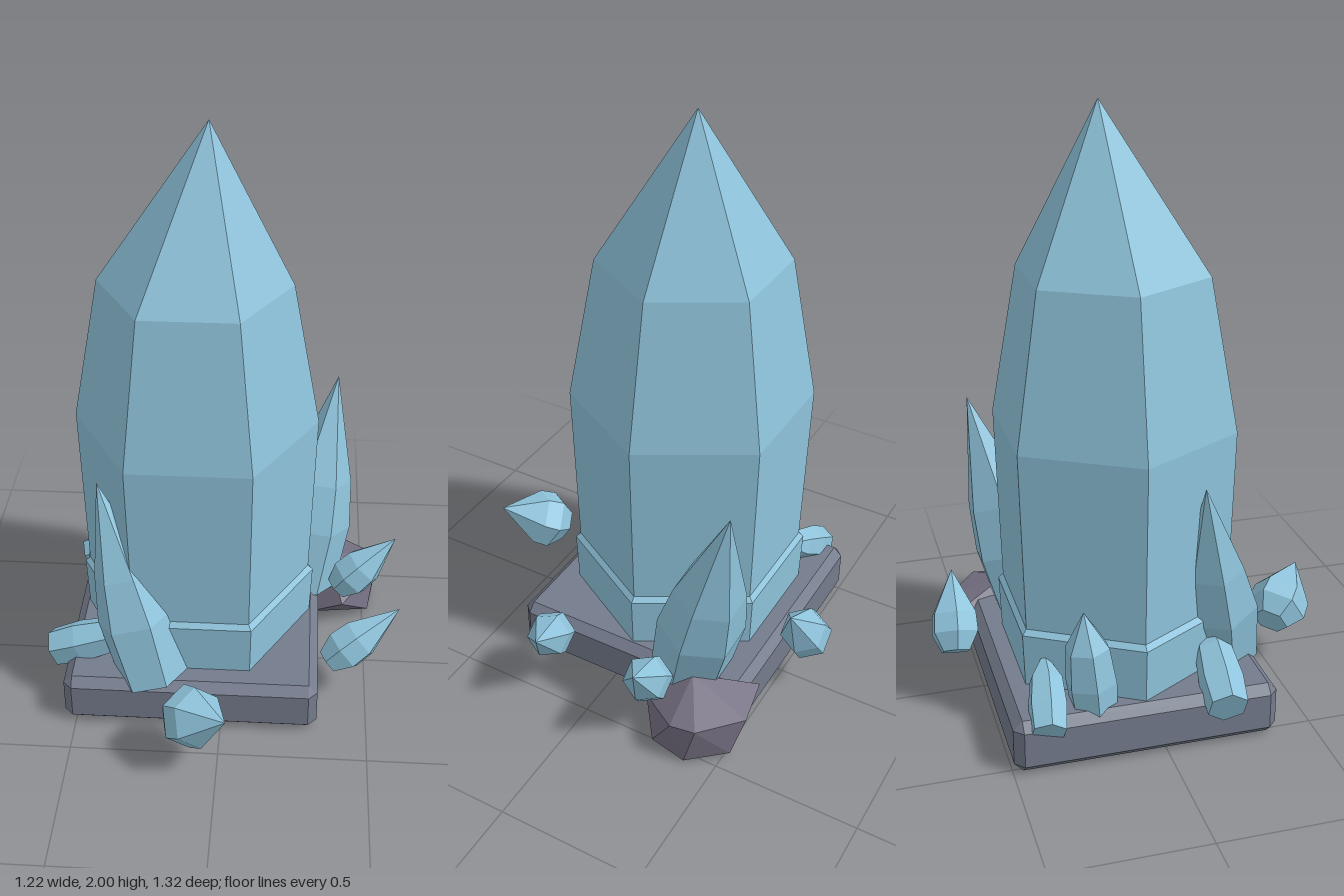
import * as THREE from 'three';
import { ConvexGeometry } from 'three/addons/geometries/ConvexGeometry.js';

const V = (x, y, z) => new THREE.Vector3(x, y, z);

export function createModel() {
  const model = new THREE.Group();
  const mat = (name, color) => {
    const m = new THREE.MeshStandardMaterial({ color, flatShading: true });
    m.name = name;
    return m;
  };
  const crystalBlue = mat('crystalBlue', 0x8fc4dc);
  const slabGrey = mat('slabGrey', 0x747b8c);
  const rockGrey = mat('rockGrey', 0x757082);

  const add = (name, geometry, material) => {
    const mesh = new THREE.Mesh(geometry, material);
    mesh.name = name;
    model.add(mesh);
    return mesh;
  };

  // Six-sided solid from [radius, height] pairs, with corners on the x axis
  const hexSolid = (profile) => new THREE.LatheGeometry(
    profile.map(([r, y]) => new THREE.Vector2(r, y)), 6, Math.PI / 2);

  // Base slab with every edge chamfered
  const cx = -0.105, cz = -0.06, hx = 0.435, hy = 0.09, hz = 0.435, c = 0.03;
  const slab = [];
  for (const sx of [-1, 1]) for (const sy of [-1, 1]) for (const sz of [-1, 1]) {
    slab.push(
      V(sx * hx, sy * (hy - c), sz * (hz - c)),
      V(sx * (hx - c), sy * hy, sz * (hz - c)),
      V(sx * (hx - c), sy * (hy - c), sz * hz));
  }
  add('baseSlab', new ConvexGeometry(slab), slabGrey).position.set(cx, hy, cz);

  // Rock leaning on the back corner of the slab
  add('cornerRock', new ConvexGeometry([
    V(0.37, 0.225, -0.34), V(0.40, 0.15, -0.555), V(0.25, 0.17, -0.53),
    V(0.54, 0.16, -0.44), V(0.545, 0.15, -0.35), V(0.52, 0.02, -0.27),
    V(0.54, 0.01, -0.40), V(0.44, 0.015, -0.52), V(0.20, 0.10, -0.49),
    V(0.30, 0.02, -0.24), V(0.42, 0.10, -0.19),
  ]), rockGrey);

  // Main crystal, its tip pulled slightly off centre
  const main = hexSolid([[0, 0.16], [0.385, 0.16], [0.408, 0.98], [0.315, 1.48], [0, 2]]);
  const pos = main.attributes.position;
  for (let i = 0; i < pos.count; i++) {
    if (pos.getY(i) > 1.9) pos.setXYZ(i, 0.045, 2, -0.03);
  }
  add('mainCrystal', main, crystalBlue).position.set(cx, 0, -0.065);

  // Collar around the foot of the main crystal
  add('crystalCollar', hexSolid([[0, 0.16], [0.4, 0.16], [0.408, 0.36], [0.37, 0.4], [0, 0.4]]),
    crystalBlue).position.set(cx, 0, -0.065);

  // Crystal running from foot to tip; rings are [radius, fraction of length]
  const crystal = (name, foot, tip, rings) => {
    const axis = V(...tip).sub(V(...foot));
    const length = axis.length();
    const profile = [[0, 0], ...rings.map(([r, t]) => [r, t * length]), [0, length]];
    const mesh = add(name, hexSolid(profile), crystalBlue);
    mesh.position.set(...foot);
    mesh.quaternion.setFromUnitVectors(V(0, 1, 0), axis.normalize());
  };

  // Two tall side crystals
  crystal('frontTallCrystal', [-0.235, 0.15, 0.285], [-0.42, 0.85, 0.15],
    [[0.12, 0], [0.135, 0.32], [0.10, 0.55]]);
  crystal('backTallCrystal', [0.255, 0.15, -0.27], [0.375, 0.93, -0.46],
    [[0.135, 0], [0.148, 0.3], [0.12, 0.52]]);

  // Short crystals scattered round the slab
  const bud = (r) => [[r * 0.6, 0], [r, 0.22], [r * 0.95, 0.45]];
  const prism = (r) => [[r * 0.9, 0], [r, 0.3], [r * 0.85, 0.65]];
  [
    ['rightFrontBud', [0.365, 0.165, 0.2], [0.605, 0.345, 0.12], bud(0.078)],
    ['rightBackBud', [0.40, 0.165, -0.21], [0.605, 0.37, -0.25], bud(0.08)],
    ['backBud', [-0.03, 0.17, -0.595], [0.135, 0.395, -0.575], bud(0.085)],
    ['frontBud', [-0.135, 0.175, 0.5], [0.035, 0.3, 0.66], bud(0.105)],
    ['leftBackUprightCrystal', [-0.45, 0.14, -0.22], [-0.44, 0.49, -0.25], prism(0.085)],
    ['leftBackPrism', [-0.55, 0.15, -0.39], [-0.31, 0.29, -0.35], prism(0.065)],
    ['leftFrontPrism', [-0.59, 0.165, 0.18], [-0.28, 0.29, 0.21], prism(0.075)],
  ].forEach((args) => crystal(...args));

  return model;
}
